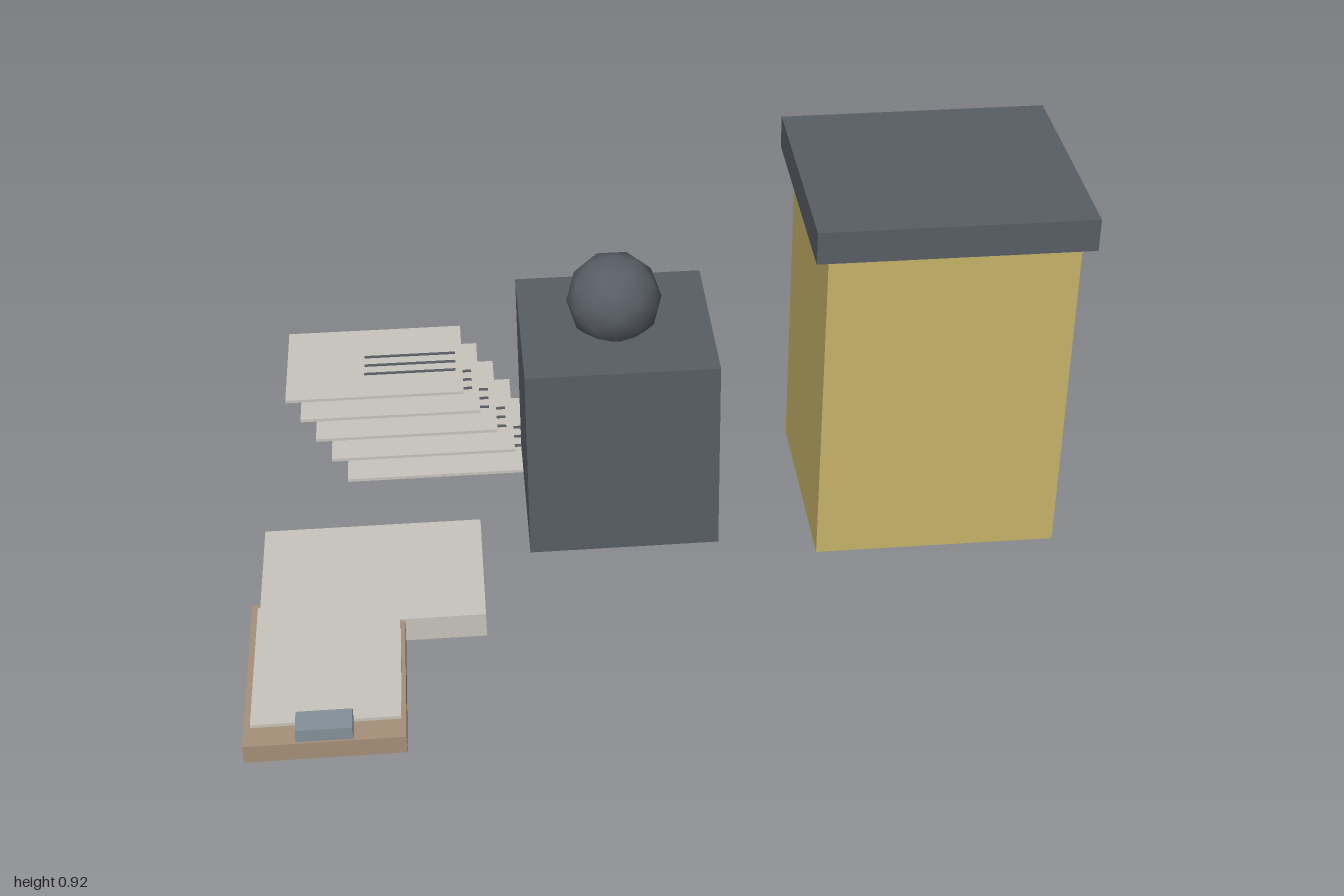
import * as THREE from 'three';

export function createModel() {
  const root = new THREE.Group();
  const mat = (name, color) => {
    const m = new THREE.MeshStandardMaterial({ color });
    m.name = name;
    return m;
  };
  const ochre = mat('ochre', 0xc8b46a);
  const slate = mat('slate', 0x595e66);
  const paper = mat('paper', 0xc9c5be);
  const wood = mat('wood', 0xa6907a);
  const steel = mat('steel', 0x84919a);
  const brass = mat('brass', 0xb8953f);

  const group = (name) => {
    const g = new THREE.Group();
    g.name = name;
    root.add(g);
    return g;
  };
  const add = (parent, name, geometry, material, x, y, z) => {
    const m = new THREE.Mesh(geometry, material);
    m.name = name;
    m.position.set(x, y, z);
    parent.add(m);
    return m;
  };
  // box given by its minimum and maximum on each axis
  const box = (parent, name, material, x0, x1, y0, y1, z0, z1) =>
    add(parent, name, new THREE.BoxGeometry(x1 - x0, y1 - y0, z1 - z0), material,
      (x0 + x1) / 2, (y0 + y1) / 2, (z0 + z1) / 2);

  // tall cabinet with an overhanging lid and a dial on its back
  const cabinet = group('cabinet');
  box(cabinet, 'cabinetBody', ochre, 0.375, 0.97, 0, 0.84, -0.376, 0.16);
  box(cabinet, 'cabinetLid', slate, 0.343, 1, 0.84, 0.922, -0.405, 0.186);
  box(cabinet, 'dialPlate', paper, 0.485, 0.86, 0.35, 0.65, -0.39, -0.375);
  const disc = (name, material, r, depth, z) => {
    const g = new THREE.CylinderGeometry(r, r, depth, 16).rotateX(Math.PI / 2);
    const m = add(cabinet, name, g.toNonIndexed(), material, 0.672, 0.5, z);
    m.geometry.computeVertexNormals();
  };
  disc('dialDisc', slate, 0.085, 0.012, -0.396);
  disc('dialKnob', brass, 0.028, 0.018, -0.409);

  // raised block with a faceted ball on top
  const pedestal = group('pedestal');
  box(pedestal, 'pedestalBlock', slate, -0.334, 0.124, 0.085, 0.585, -0.25, 0.207);
  add(pedestal, 'ball', new THREE.IcosahedronGeometry(0.114, 1), slate, -0.107, 0.653, -0.023);

  // fanned sheets, each with three written lines
  const sheets = group('fannedSheets');
  for (let i = 0; i < 5; i++) {
    const x = -0.945 + 0.0415 * i;
    const z = -0.83 + 0.083 * i;
    const top = 0.105 - 0.008 * i;
    box(sheets, 'sheet', paper, x, x + 0.47, top - 0.008, top, z, z + 0.336);
    for (let j = 0; j < 3; j++) {
      const lz = z + 0.142 + 0.0425 * j;
      box(sheets, 'writtenLine', slate, x + 0.207, x + 0.452, top, top + 0.003, lz - 0.004, lz + 0.004);
    }
  }

  // thick ream of paper
  box(root, 'paperReam', paper, -0.98, -0.45, 0, 0.064, 0.03, 0.41);

  // clipboard partly under the ream's front edge
  const clipboard = group('clipboard');
  box(clipboard, 'board', wood, -1, -0.64, 0.015, 0.06, 0.32, 0.822);
  box(clipboard, 'boardPaper', paper, -0.985, -0.65, 0.06, 0.068, 0.34, 0.76);
  box(clipboard, 'clip', steel, -0.883, -0.757, 0.06, 0.092, 0.752, 0.817);

  return root;
}
